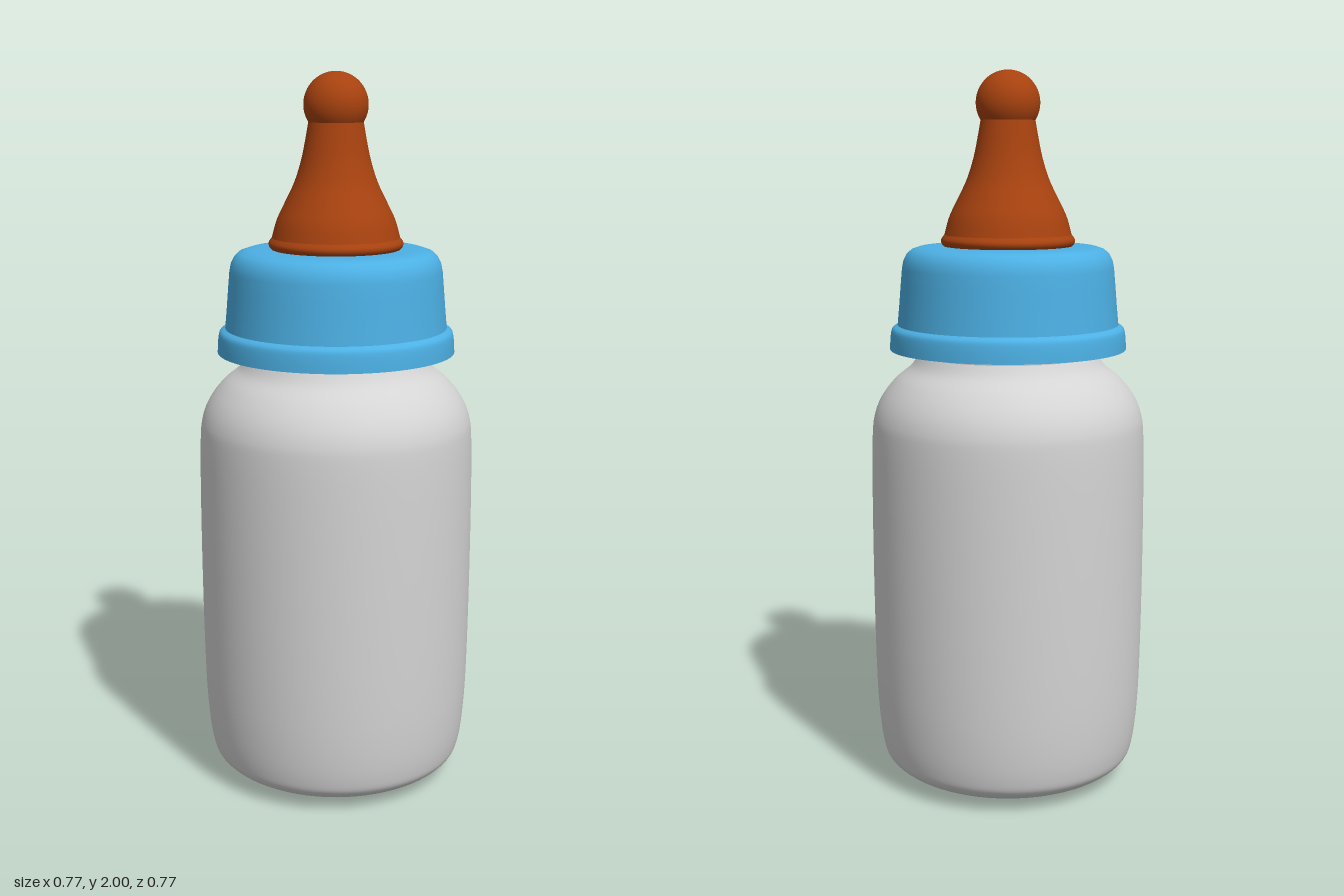
import * as THREE from 'three';
import { mergeGeometries } from 'three/addons/utils/BufferGeometryUtils.js';

const SEGMENTS = 72;

// Smooth profile through a few [radius, height] points.
function spline(points, divisions) {
  const curve = new THREE.SplineCurve(points.map(([r, y]) => new THREE.Vector2(r, y)));
  return curve.getPoints(divisions).map((p) => [Math.max(p.x, 0), p.y]);
}

// Turned part: each section is smooth, with sharp edges between sections.
function turned(name, sections, material) {
  const parts = sections.map((s) =>
    new THREE.LatheGeometry(s.map(([r, y]) => new THREE.Vector2(r, y)), SEGMENTS));
  const mesh = new THREE.Mesh(mergeGeometries(parts), material);
  mesh.name = name;
  return mesh;
}

export function createModel() {
  const glass = new THREE.MeshStandardMaterial({ color: 0xd4d4d4 });
  glass.name = 'pale grey bottle';
  const blue = new THREE.MeshStandardMaterial({ color: 0x4cb0e4 });
  blue.name = 'blue cap';
  const rubber = new THREE.MeshStandardMaterial({ color: 0xa8420f });
  rubber.name = 'brown rubber';

  const group = new THREE.Group();
  group.name = 'babyBottle';

  // Bottle body with a rounded base, soft shoulder and neck
  const body = [
    [0, 0], [0.19, 0],
    ...spline([[0.2, 0.001], [0.29, 0.022], [0.345, 0.055], [0.364, 0.1],
      [0.376, 0.2], [0.382, 0.35], [0.385, 0.6], [0.385, 0.85], [0.382, 1.0],
      [0.374, 1.06], [0.352, 1.11], [0.316, 1.155], [0.272, 1.192], [0.25, 1.225]], 70),
  ];
  group.add(turned('bottle', [
    body,
    [[0.25, 1.225], [0.25, 1.5]],
    [[0.25, 1.5], [0, 1.5]],
  ], glass));

  // Raised ring on the neck under the cap
  const ring = new THREE.Mesh(new THREE.TorusGeometry(0.25, 0.012, 10, SEGMENTS), glass);
  ring.name = 'neckRing';
  ring.rotation.x = Math.PI / 2;
  ring.position.y = 1.275;
  group.add(ring);

  // Hollow screw cap: inside wall, flared rim, tapered side and rounded top
  group.add(turned('cap', [
    [[0.265, 1.5], [0.285, 1.31], [0.312, 1.24]],
    [[0.312, 1.24], [0.33, 1.24]],
    spline([[0.33, 1.24], [0.328, 1.275], [0.323, 1.298], [0.308, 1.308]], 12),
    [[0.308, 1.308], [0.303, 1.36], [0.298, 1.42], [0.294, 1.465],
      [0.29, 1.485], [0.281, 1.503], [0.267, 1.516], [0.245, 1.523], [0.21, 1.525], [0, 1.525]],
  ], blue));

  // Teat: rolled flange, concave cone and round tip
  const tipRadius = 0.088;
  const tip = [];
  for (let i = 0; i <= 24; i++) {
    const a = THREE.MathUtils.lerp(-0.56, Math.PI / 2, i / 24);
    tip.push([Math.max(tipRadius * Math.cos(a), 0), 1.912 + tipRadius * Math.sin(a)]);
  }
  group.add(turned('teat', [
    [[0, 1.52], [0.172, 1.52]],
    spline([[0.172, 1.52], [0.183, 1.531], [0.185, 1.543], [0.176, 1.556]], 10),
    spline([[0.176, 1.556], [0.162, 1.605], [0.138, 1.655], [0.114, 1.705],
      [0.096, 1.76], [0.085, 1.81], [0.075, 1.866]], 28),
    tip,
  ], rubber));

  return group;
}
